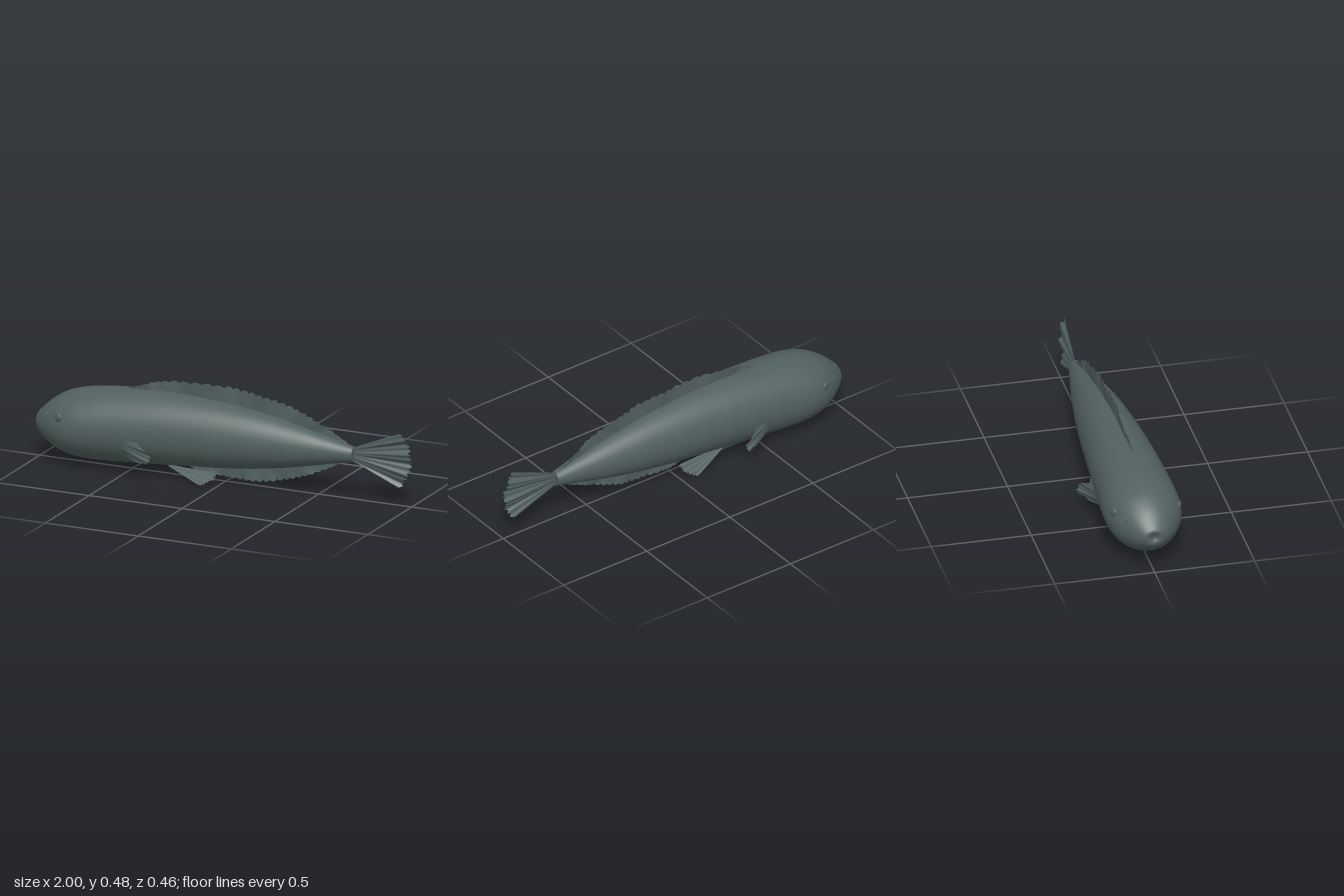
import * as THREE from 'three';

const skin = new THREE.MeshStandardMaterial({ color: 0x51605f });
skin.name = 'slate skin';
const finSkin = new THREE.MeshStandardMaterial({ color: 0x51605f, side: THREE.DoubleSide });
finSkin.name = 'slate fin';

// Body stations from snout to tail: x, top, bottom, half width
const STATIONS = [
  [-0.99, 0.205, 0.195, 0.0], [-1.0, 0.235, 0.165, 0.045], [-0.975, 0.265, 0.13, 0.08],
  [-0.92, 0.315, 0.088, 0.125], [-0.85, 0.357, 0.056, 0.165], [-0.77, 0.382, 0.041, 0.186],
  [-0.68, 0.398, 0.037, 0.189], [-0.55, 0.411, 0.042, 0.182], [-0.38, 0.42, 0.052, 0.171],
  [-0.2, 0.419, 0.064, 0.157], [0, 0.406, 0.078, 0.14], [0.2, 0.381, 0.101, 0.118],
  [0.4, 0.342, 0.136, 0.088], [0.55, 0.306, 0.169, 0.06], [0.69, 0.272, 0.198, 0.033],
];
const upper = new THREE.CatmullRomCurve3(STATIONS.map(s => new THREE.Vector3(s[0], s[1], s[3])), false, 'catmullrom');
const lower = new THREE.CatmullRomCurve3(STATIONS.map(s => new THREE.Vector3(s[0], s[2], 0)), false, 'catmullrom');

function makeMesh(name, positions, index, material) {
  const g = new THREE.BufferGeometry();
  g.setAttribute('position', new THREE.Float32BufferAttribute(positions, 3));
  g.setIndex(index);
  g.computeVertexNormals();
  const mesh = new THREE.Mesh(g, material);
  mesh.name = name;
  return mesh;
}

// Elliptical rings swept along the fish
function makeBody() {
  const N = 84, M = 64, pos = [], idx = [];
  for (let i = 0; i <= N; i++) {
    const a = upper.getPoint(i / N), b = lower.getPoint(i / N);
    for (let j = 0; j < M; j++) {
      const t = j / M * Math.PI * 2;
      pos.push(a.x, (a.y + b.y) / 2 + (a.y - b.y) / 2 * Math.cos(t), Math.max(a.z, 0) * Math.sin(t));
    }
  }
  for (let i = 0; i < N; i++) for (let j = 0; j < M; j++) {
    const k = (j + 1) % M, a = i * M + j, b = i * M + k;
    idx.push(a, b, a + M, b, b + M, a + M);
  }
  return makeMesh('body', pos, idx, skin);
}

// Thin ruled sheet between a root curve and an outer edge curve.
// ripple(u, v) gives an offset along dir, jag(u) shortens the edge.
function makeFin(name, root, edge, dir, ripple, jag, n = 120, m = 8) {
  const curve = pts => new THREE.CatmullRomCurve3(pts.map(p => new THREE.Vector3(...p)));
  const r = curve(root), e = curve(edge), pos = [], idx = [];
  const offset = new THREE.Vector3(...dir).normalize();
  for (let i = 0; i <= n; i++) {
    const u = i / n, a = r.getPoint(u), b = e.getPoint(u);
    for (let j = 0; j <= m; j++) {
      const v = j / m;
      const p = a.clone().lerp(b, v * (1 - jag(u) * v * v)).addScaledVector(offset, ripple(u, v));
      pos.push(p.x, p.y, p.z);
    }
  }
  for (let i = 0; i < n; i++) for (let j = 0; j < m; j++) {
    const a = i * (m + 1) + j, b = a + m + 1;
    idx.push(a, b, a + 1, b, b + 1, a + 1);
  }
  return makeMesh(name, pos, idx, finSkin);
}

// Scalloped edge
const scallop = (count, depth) => u => depth * (1 - Math.abs(Math.sin(u * count * Math.PI)));
const wave = (count, size) => (u, v) => size * v * (Math.sin(u * count * 6.283) + 0.4 * Math.sin(u * count * 17 + 1));

export function createModel() {
  const fish = new THREE.Group();
  fish.name = 'fish';
  fish.add(makeBody());

  // Flat end of the tail stem
  const cap = new THREE.Mesh(new THREE.CircleGeometry(1, 48), skin);
  cap.name = 'tailStemEnd';
  cap.scale.set(0.033, 0.037, 1);
  cap.rotation.y = Math.PI / 2;
  cap.position.set(0.69, 0.235, 0);
  fish.add(cap);

  // Unpaired fins
  const Z = [0, 0, 1];
  fish.add(makeFin('dorsalFin',
    [[-0.53, 0.405, 0], [-0.3, 0.41, 0], [0, 0.395, 0], [0.2, 0.37, 0], [0.4, 0.33, 0], [0.64, 0.27, 0]],
    [[-0.52, 0.418, 0], [-0.33, 0.474, 0], [0, 0.49, 0], [0.24, 0.46, 0], [0.46, 0.395, 0], [0.66, 0.284, 0]],
    Z, wave(4, 0.006), scallop(28, 0.12), 196));
  fish.add(makeFin('analFin',
    [[-0.22, 0.075, 0], [0, 0.09, 0], [0.2, 0.115, 0], [0.4, 0.15, 0], [0.64, 0.2, 0]],
    [[-0.18, 0.05, 0], [0.02, 0.026, 0], [0.24, 0.036, 0], [0.45, 0.098, 0], [0.665, 0.2, 0]],
    Z, wave(3, 0.006), scallop(24, 0.12), 168));
  fish.add(makeFin('tailFin',
    [[0.68, 0.268, 0], [0.68, 0.25, 0], [0.68, 0.235, 0], [0.68, 0.22, 0], [0.68, 0.202, 0]],
    [[0.945, 0.376, 0], [0.985, 0.31, 0], [1.0, 0.24, 0], [0.985, 0.165, 0], [0.94, 0.094, 0]],
    Z, wave(3, 0.009), scallop(14, 0.05), 112));

  for (const s of [1, -1]) {
    const side = s > 0 ? 'left' : 'right';
    const flip = pts => pts.map(([x, y, z]) => [x, y, z * s]);

    // Pectoral fin, swept back and down
    fish.add(makeFin(side + 'PectoralFin',
      flip([[-0.485, 0.203, 0.165], [-0.487, 0.16, 0.162], [-0.48, 0.115, 0.145]]),
      flip([[-0.385, 0.198, 0.184], [-0.305, 0.148, 0.222], [-0.315, 0.115, 0.222], [-0.39, 0.1, 0.185]]),
      [-0.3, 0.2, s], wave(2, 0.006), scallop(8, 0.04), 64));

    // Pelvic fin, splayed under the belly
    fish.add(makeFin(side + 'PelvicFin',
      flip([[-0.29, 0.066, 0.04], [-0.285, 0.064, 0.05], [-0.28, 0.063, 0.06]]),
      flip([[-0.02, 0.056, 0.045], [-0.03, 0.03, 0.085], [-0.085, 0.006, 0.12]]),
      [0, 1, 0.6 * s], wave(2, 0.003), scallop(8, 0.05), 64));

    // Small raised eye and nostril
    const bump = (name, x, y, z, r, depth) => {
      const mesh = new THREE.Mesh(new THREE.SphereGeometry(r, 24, 16), skin);
      mesh.name = side + name;
      mesh.scale.z = depth;
      mesh.position.set(x, y, z * s);
      mesh.rotation.y = -0.45 * s;
      fish.add(mesh);
    };
    bump('Eye', -0.825, 0.268, 0.164, 0.023, 0.4);
    bump('Nostril', -0.905, 0.264, 0.118, 0.007, 0.8);
  }
  return fish;
}
